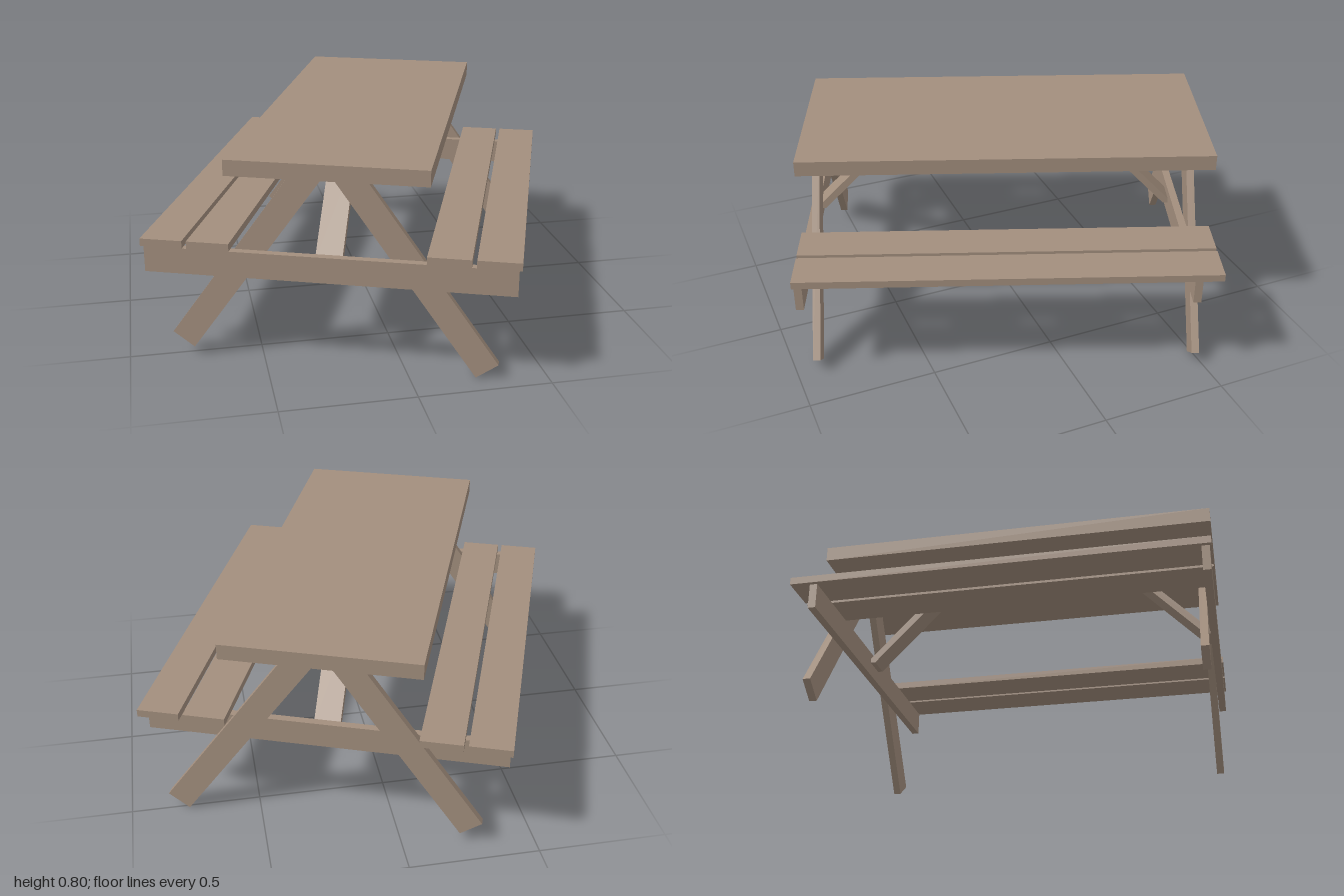
import * as THREE from 'three';

export function createModel() {
  const model = new THREE.Group();
  model.name = 'picnicTable';
  const table = new THREE.Group();
  table.name = 'table';
  table.rotation.y = THREE.MathUtils.degToRad(-20.75);
  model.add(table);

  const wood = new THREE.MeshStandardMaterial({ color: 0xa28e7d });
  wood.name = 'weathered wood';

  const add = (name, geometry) => {
    const mesh = new THREE.Mesh(geometry, wood);
    mesh.name = name;
    table.add(mesh);
    return mesh;
  };

  // Box given by its lower and upper limits on each axis
  const board = (name, x0, x1, y0, y1, z0, z1) =>
    add(name, new THREE.BoxGeometry(x1 - x0, y1 - y0, z1 - z0))
      .position.set((x0 + x1) / 2, (y0 + y1) / 2, (z0 + z1) / 2);

  // Flat board cut from an outline
  const cut = (points, depth) => new THREE.ExtrudeGeometry(
    new THREE.Shape(points.map(([x, y]) => new THREE.Vector2(x, y))),
    { depth, bevelEnabled: false });

  // Tabletop
  const underside = 0.743;
  board('tabletop', -0.3685, 0.3685, underside, 0.803, -0.802, 0.802);

  // Two seat planks on each side
  for (const side of [-1, 1]) {
    for (const [name, a, b] of [['outerSeatPlank', 0.536, 0.695], ['innerSeatPlank', 0.36, 0.519]]) {
      const [x0, x1] = side > 0 ? [a, b] : [-b, -a];
      board(name, x0, x1, 0.453, 0.482, -0.802, 0.802);
    }
  }

  // Splayed leg: square-cut foot, top cut flat against the tabletop
  const slope = 0.71;
  const legOutline = (side, lift) => {
    const outer = (y) => side * (0.626 - (y - 0.058) * slope);
    const inner = (y) => side * (0.545 - y * slope);
    const pts = [
      [inner(lift), lift], [outer(lift + 0.058), lift + 0.058],
      [outer(underside), underside], [inner(underside), underside],
    ];
    return side > 0 ? pts : pts.reverse();
  };

  // Two identical end frames: cross beam on the front side of its legs
  for (const [end, z] of [['front', 0.765], ['back', -0.725]]) {
    board(end + 'CrossBeam', -0.684, 0.684, 0.35, 0.45, z, z + 0.03);
    for (const [side, lift] of [[1, 0], [-1, 0.035]]) {
      add(end + (side > 0 ? 'LeftLeg' : 'RightLeg'), cut(legOutline(side, lift), 0.03))
        .position.z = z - 0.03;
    }
  }

  // Diagonal braces from the cross beams to the tabletop
  const braceOutline = [[0.417, underside], [0.745, 0.402], [0.765, 0.402], [0.765, 0.422], [0.455, underside]];
  for (const [name, turn, shift] of [['frontBrace', -1, 0], ['backBrace', 1, 0.072]]) {
    const brace = add(name, cut(braceOutline, 0.1).translate(0, 0, -0.05));
    brace.rotation.y = turn * Math.PI / 2;
    brace.position.z = shift;
  }

  return model;
}
